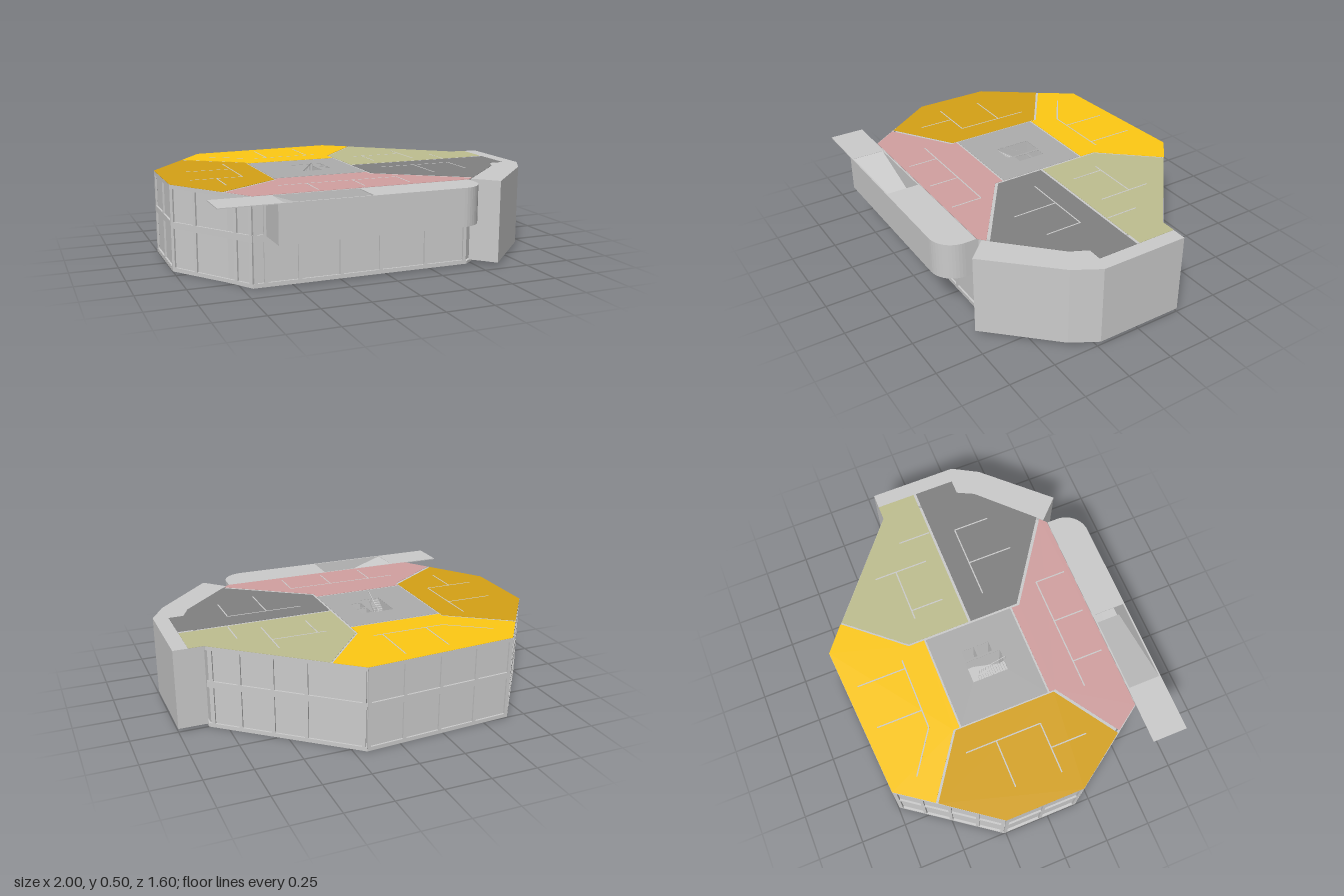
import * as THREE from 'three';

const mat = (color) => new THREE.MeshStandardMaterial({ color, flatShading: true, side: THREE.DoubleSide });
const GREY = mat(0xcccccc), FRAME = mat(0xeeeeee), PARTITION = mat(0xd8d8d8);
const TOP = 0.4535; // wall tops, just under the coloured zone caps

// Plan polygon in [x, z], optionally with holes
function plan(pts, holes = []) {
  const v = (list) => list.map(([x, z]) => new THREE.Vector2(x, -z));
  const shape = new THREE.Shape(v(pts));
  for (const h of holes) shape.holes.push(new THREE.Path(v(h)));
  return shape;
}
const rect = (x0, x1, z0, z1) => [[x0, z0], [x1, z0], [x1, z1], [x0, z1]];

export function createModel() {
  const model = new THREE.Group();

  function add(parent, name, geometry, material) {
    const mesh = new THREE.Mesh(geometry, material);
    mesh.name = name;
    parent.add(mesh);
    return mesh;
  }
  // Vertical extrusion of a plan between two heights
  function slab(parent, name, pts, y0, y1, material = GREY, holes = []) {
    const g = new THREE.ExtrudeGeometry(plan(pts, holes), { depth: y1 - y0, bevelEnabled: false });
    g.rotateX(-Math.PI / 2).translate(0, y0, 0);
    return add(parent, name, g, material);
  }
  function box(parent, name, x0, x1, y0, y1, z0, z1, material = GREY) {
    const g = new THREE.BoxGeometry(x1 - x0, y1 - y0, z1 - z0);
    g.translate((x0 + x1) / 2, (y0 + y1) / 2, (z0 + z1) / 2);
    return add(parent, name, g, material);
  }
  // Upright wall strip between two plan points
  function strip(parent, name, [ax, az], [bx, bz], y0, y1, width, material) {
    const g = new THREE.BoxGeometry(Math.hypot(bx - ax, bz - az), y1 - y0, width);
    g.rotateY(-Math.atan2(bz - az, bx - ax));
    g.translate((ax + bx) / 2, (y0 + y1) / 2, (az + bz) / 2);
    return add(parent, name, g, material);
  }
  function group(name) {
    const g = new THREE.Group();
    g.name = name;
    model.add(g);
    return g;
  }

  // Main body with open stairwell and lift shafts
  const outline = [[-1, -0.26], [-0.79, -0.55], [-0.65, -0.745], [0.185, -0.8], [0.84, -0.25], [0.84, 0.2],
    [0.795, 0.29], [0.52, 0.565], [0.47, 0.605], [-0.7, 0.605], [-0.79, 0.46], [-1, 0.17]];
  const inset = (k) => outline.map(([x, z]) => [-0.1 + (x + 0.1) * k, -0.1 + (z + 0.1) * k]);
  const shafts = [rect(-0.26, -0.142, -0.14, 0.06), rect(-0.13, -0.075, -0.135, -0.065), rect(-0.13, -0.075, -0.05, 0.02)];
  slab(model, 'baseSlab', outline, 0, 0.015);
  slab(model, 'windowWalls', inset(0.985), 0.015, TOP, GREY, shafts);
  slab(model, 'wallTops', inset(0.986), TOP - 0.003, TOP, FRAME, shafts);

  // Coloured floor zones
  const zones = group('floorZones');
  const zone = (name, color, pts, holes) => slab(zones, name, pts, TOP, 0.455, mat(color), holes);
  zone('westZone', 0xd6a216, [[-1, -0.26], [-0.79, -0.547], [-0.468, -0.325], [-0.468, 0.235], [-0.8, 0.455], [-1, 0.17]]);
  zone('northZone', 0xffca14, [[-0.782, -0.558], [-0.648, -0.745], [0.185, -0.8], [0.322, -0.688], [0.062, -0.388],
    [0.062, -0.3], [-0.462, -0.3], [-0.462, -0.335]]);
  zone('northEastZone', 0xbfbf90, [[0.327, -0.68], [0.84, -0.25], [0.92, -0.25], [0.92, -0.036], [0.072, -0.036], [0.072, -0.385]]);
  zone('southEastZone', 0x818181, [[0.072, -0.022], [0.92, -0.022], [0.92, 0.2], [0.84, 0.2], [0.795, 0.29], [0.52, 0.562], [0.072, 0.25]]);
  zone('southZone', 0xd2a0a0, [[-0.46, 0.215], [0.06, 0.215], [0.06, 0.26], [0.505, 0.573], [0.47, 0.605], [-0.695, 0.605],
    [-0.79, 0.468], [-0.46, 0.248]]);
  zone('coreZone', 0xaeaeae, rect(-0.46, 0.06, -0.29, 0.205), shafts);
  box(zones, 'wallEnd', 0.84, 0.92, TOP, 0.456, -0.037, -0.023);

  // Room partitions, flush with the floor zones
  const rooms = group('roomPartitions');
  const segments = [
    [-0.86, -0.15, -0.6, -0.15], [-0.6, -0.32, -0.6, 0.1], [-0.88, 0.1, -0.6, 0.1], [-0.74, 0.1, -0.74, 0.3],
    [-0.4, -0.45, 0.0, -0.45], [-0.3, -0.7, -0.3, -0.45], [-0.05, -0.72, -0.05, -0.45], [-0.62, -0.6, -0.4, -0.45],
    [0.2, -0.3, 0.5, -0.3], [0.5, -0.42, 0.5, -0.12], [0.25, -0.3, 0.25, -0.12], [0.66, -0.22, 0.66, -0.04],
    [0.2, 0.1, 0.62, 0.1], [0.4, 0.1, 0.4, 0.35], [0.62, 0.1, 0.62, 0.3],
    [-0.5, 0.4, 0.15, 0.4], [-0.35, 0.4, -0.35, 0.57], [-0.1, 0.4, -0.1, 0.57], [0.15, 0.4, 0.15, 0.57]];
  for (const [ax, az, bx, bz] of segments) strip(rooms, 'partition', [ax, az], [bx, bz], TOP, 0.4553, 0.007, PARTITION);

  // Window frames: bands at three heights and mullions at fractions along each edge
  const frames = group('windowFrames');
  const k = inset(0.994);
  const facades = [
    [k[0], k[2], [0.02, 0.25, 0.5, 0.75, 0.98]],
    [k[2], k[3], [0.01, 0.25, 0.5, 0.75, 0.99]],
    [k[3], k[4], [0.02, 0.37, 0.58, 0.79, 0.97]],
    [k[9], k[8], [0.01, 0.055, 0.205, 0.393, 0.577, 0.795, 0.99]],
    [k[11], k[9], [0.01, 0.3, 0.8, 0.98]],
    [k[0], k[11], [0.02, 0.5, 0.98]]];
  for (const [a, b, stops] of facades) {
    for (const [y0, y1] of [[0.012, 0.022], [0.228, 0.262], [0.433, TOP]]) strip(frames, 'frameBand', a, b, y0, y1, 0.01, FRAME);
    const length = Math.hypot(b[0] - a[0], b[1] - a[1]);
    const at = (t) => [a[0] + (b[0] - a[0]) * t, a[1] + (b[1] - a[1]) * t];
    for (const t of stops) {
      const h = 0.009 / length;
      strip(frames, 'mullion', at(t - h), at(t + h), 0.015, TOP, 0.01, FRAME);
    }
  }

  // Faceted solid wall wrapping the south-east corner
  const rim = [[0.84, -0.25], [1, -0.25], [1, 0.23], [0.92, 0.37], [0.6, 0.705], [0.49, 0.592], [0.52, 0.562], [0.795, 0.29], [0.84, 0.2]];
  slab(model, 'cornerWall', rim, 0.018, TOP);

  // Entrance canopy: thin deck, hollow band with rounded end, sunken ramp
  const canopy = group('canopy');
  const rounded = (x0, x1, z0, z1, r) => {
    const pts = [[x0, z1], [x0, z0], [x1, z0]];
    for (let i = 0; i <= 12; i++) {
      const a = (i / 12) * Math.PI / 2;
      pts.push([x1 - r + r * Math.cos(a), z1 - r + r * Math.sin(a)]);
    }
    return pts;
  };
  slab(canopy, 'deck', rounded(-0.913, 0.467, 0.608, 0.8, 0.13), 0.449, TOP, GREY, [rect(-0.6, -0.15, 0.616, 0.792)]);
  slab(canopy, 'bandWall', rounded(-0.63, 0.467, 0.608, 0.8, 0.13), 0.262, 0.449, GREY, [rounded(-0.622, 0.459, 0.616, 0.792, 0.122)]);
  slab(canopy, 'bandFloor', rounded(-0.63, 0.467, 0.608, 0.8, 0.13), 0.255, 0.266);
  const slope = new THREE.Shape([[-0.6, 0.452], [-0.15, 0.3], [-0.15, 0.29], [-0.6, 0.442]].map((p) => new THREE.Vector2(...p)));
  add(canopy, 'ramp', new THREE.ExtrudeGeometry(slope, { depth: 0.176, bevelEnabled: false }).translate(0, 0, 0.616), GREY);

  // Two flights of stairs with a half landing
  const stairs = group('stairs');
  const steps = 12, run = 0.15 / steps, rise = 0.009;
  for (let i = 0; i < steps; i++) {
    const z = 0.06 - i * run, y = 0.445 - i * rise;
    box(stairs, 'upperStep', -0.26, -0.205, y - 0.014, y, z - run, z);
    const low = 0.445 - (2 * steps - i) * rise;
    box(stairs, 'lowerStep', -0.197, -0.142, low - 0.014, low, z - run, z);
  }
  box(stairs, 'landing', -0.26, -0.142, 0.325, 0.337, -0.14, -0.09);

  // Sloping stair railing with balusters
  for (let i = 0; i <= 12; i++) {
    const z = 0.068 - i * 0.0125, y = 0.5 - i * 0.00625;
    box(stairs, 'baluster', -0.202, -0.2, y - 0.05, y, z - 0.001, z + 0.001);
  }
  const rail = box(stairs, 'handrail', -0.0015, 0.0015, -0.0015, 0.0015, -0.084, 0.084);
  rail.position.set(-0.201, 0.4625, -0.007);
  rail.rotation.x = -Math.atan(0.5);

  return model;
}
